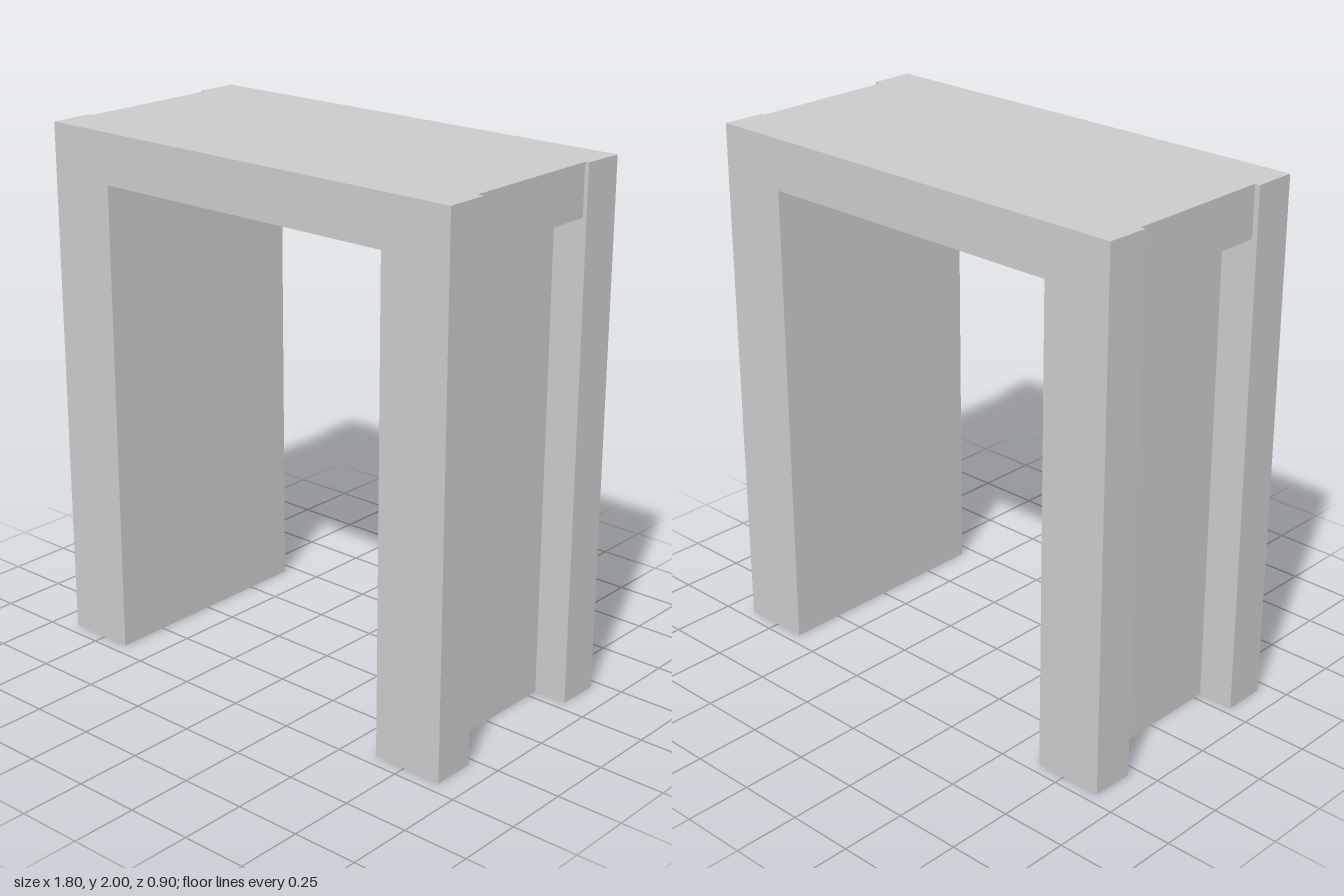
import * as THREE from 'three';

const material = new THREE.MeshStandardMaterial({ color: 0xcccccc, flatShading: true });

// Extrudes a plan outline of [x, z] points upward from y0 to y1.
function planBlock(name, points, y0, y1) {
  const shape = new THREE.Shape(points.map(([x, z]) => new THREE.Vector2(x, -z)));
  const geometry = new THREE.ExtrudeGeometry(shape, { depth: y1 - y0, bevelEnabled: false });
  geometry.rotateX(-Math.PI / 2);
  geometry.translate(0, y0, 0);
  const mesh = new THREE.Mesh(geometry, material);
  mesh.name = name;
  return mesh;
}

// Outer edge of one end, front to back, notched to the given x between the flanges.
const leftEdge = (x) => [
  [0.90, 0.45], [0.90, 0.285], [x, 0.285], [x, -0.295], [0.89, -0.295], [0.895, -0.455],
];
const rightEdge = (x) => [
  [-0.905, 0.45], [-0.905, 0.285], [x, 0.285], [x, -0.295], [-0.905, -0.295], [-0.90, -0.455],
];

export function createModel() {
  const group = new THREE.Group();
  group.name = 'portalFrame';
  const underside = 1.81;

  // Channel-shaped legs, open to the outside
  group.add(planBlock('leftLeg',
    [...leftEdge(0.76), [0.625, -0.455], [0.625, 0.45]], 0, underside));
  group.add(planBlock('rightLeg',
    [...rightEdge(-0.765), [-0.635, -0.455], [-0.635, 0.45]], 0, underside));

  // Lintel across the top, set slightly back between the flanges
  group.add(planBlock('lintel',
    [...leftEdge(0.875), ...rightEdge(-0.885).reverse()], underside, 2));

  return group;
}
